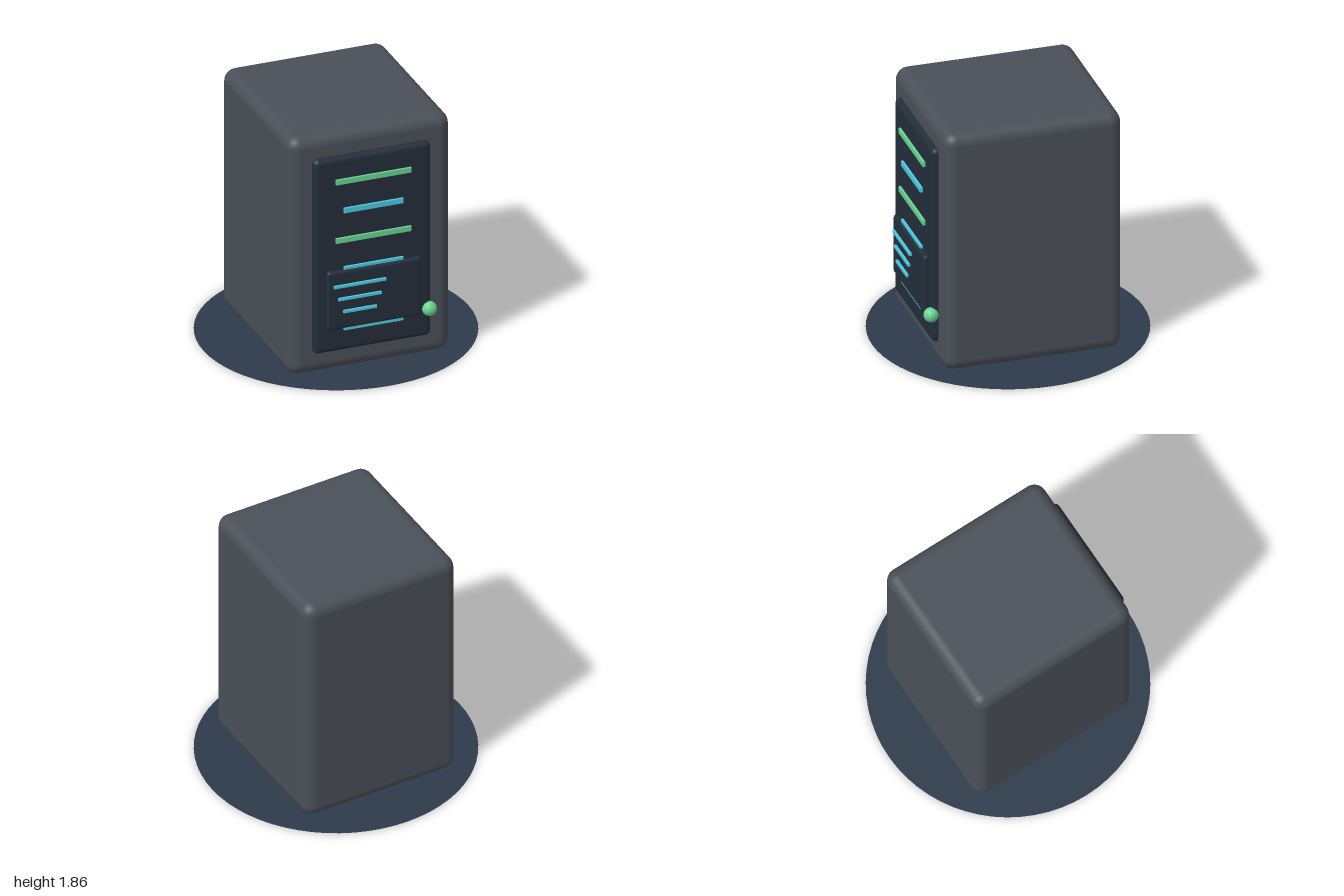
import * as THREE from 'three';
import { RoundedBoxGeometry } from 'three/addons/geometries/RoundedBoxGeometry.js';

const paint = (color) => new THREE.MeshStandardMaterial({ color });

export function createModel() {
  const model = new THREE.Group();
  const grey = paint(0x4a5058), navy = paint(0x232d3b);
  const green = paint(0x68d391), cyan = paint(0x4cc9e0);

  const add = (name, geometry, material, x, y, z) => {
    const mesh = new THREE.Mesh(geometry, material);
    mesh.name = name;
    mesh.position.set(x, y, z);
    model.add(mesh);
    return mesh;
  };
  // rounded box given by its lower and upper y and its back and front z
  const slab = (name, w, y0, y1, z0, z1, r, material) =>
    add(name, new RoundedBoxGeometry(w, y1 - y0, z1 - z0, 5, r), material, 0, (y0 + y1) / 2, (z0 + z1) / 2);

  // thin round floor disc
  const discMaterial = paint(0x2d3a4a);
  discMaterial.side = THREE.DoubleSide;
  add('baseDisc', new THREE.CircleGeometry(1, 64), discMaterial, 0, 0.002, 0).rotation.x = -Math.PI / 2;

  // cabinet with a raised front panel and a small screen on it
  slab('cabinet', 1.225, 0.01, 1.865, -0.655, 0.655, 0.09, grey);
  slab('frontPanel', 0.886, 0.18, 1.695, 0.61, 0.7, 0.04, navy);
  slab('screen', 0.714, 0.37, 0.823, 0.685, 0.735, 0.022, navy);

  // alternating light strips; the lower ones run behind the screen
  for (let i = 0; i < 6; i++) {
    const even = i % 2 === 0;
    add('lightStrip', new THREE.BoxGeometry(even ? 0.57 : 0.45, 0.038, 0.024),
      even ? green : cyan, 0, 1.51 - i * 0.2285, 0.706);
  }

  // short lines on the screen
  [[-0.315, 0.08, 0.71], [-0.28, 0.045, 0.61], [-0.242, 0.01, 0.51]].forEach(([x0, x1, y]) =>
    add('screenLine', new THREE.BoxGeometry(x1 - x0, 0.02, 0.02), cyan, (x0 + x1) / 2, y, 0.743));

  // round indicator at the lower corner
  add('indicatorLight', new THREE.SphereGeometry(0.054, 24, 16), green, 0.425, 0.397, 0.703);

  return model;
}
